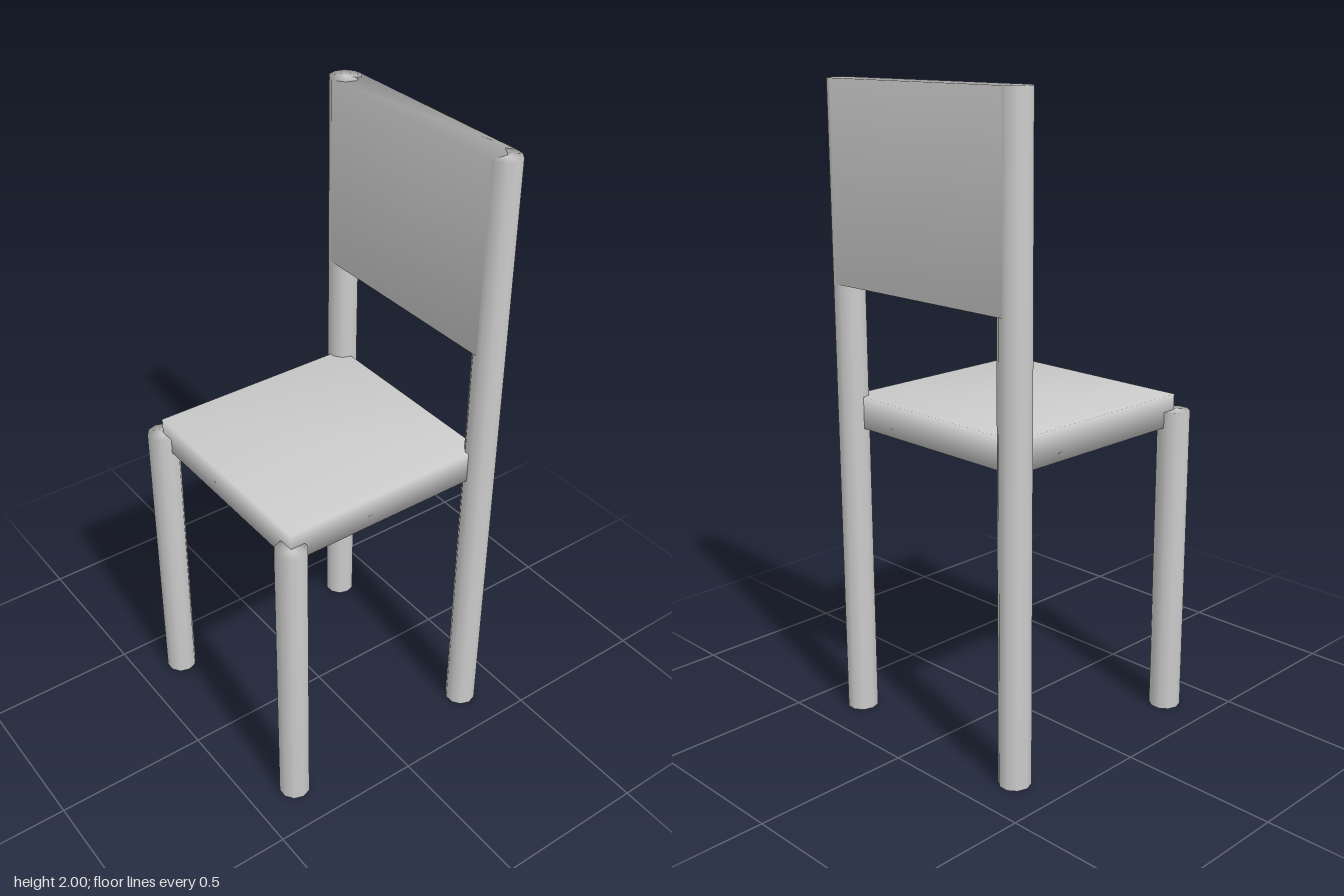
import * as THREE from 'three';
import { mergeVertices } from 'three/addons/utils/BufferGeometryUtils.js';

// Weld corners so the shading runs smoothly over every edge
function smooth(geometry) {
  geometry.deleteAttribute('normal');
  geometry.deleteAttribute('uv');
  const welded = mergeVertices(geometry, 1e-4);
  welded.computeVertexNormals();
  return welded;
}

export function createModel() {
  const chair = new THREE.Group();
  chair.name = 'chair';
  const grey = new THREE.MeshStandardMaterial({ color: 0xcccccc });
  grey.name = 'light grey';

  function add(name, geometry, x, y, z) {
    const mesh = new THREE.Mesh(smooth(geometry), grey);
    mesh.name = name;
    mesh.position.set(x, y, z);
    chair.add(mesh);
  }

  // Ten-sided post standing on the floor, a corner pointing sideways
  function addPost(name, height, x, z) {
    const post = new THREE.CylinderGeometry(0.05, 0.05, height, 10).rotateY(Math.PI / 2);
    add(name, post, x, height / 2, z);
  }

  // Short front legs, and rear legs that run up to carry the backrest
  for (const [side, x] of [['Left', 0.35], ['Right', -0.35]]) {
    addPost('front' + side + 'Leg', 1, x, 0.35);
    addPost('rear' + side + 'Leg', 2, x, -0.35);
  }

  // Seat and backrest slabs
  add('seat', new THREE.BoxGeometry(0.7, 0.1, 0.7), 0, 1, 0);
  add('backrest', new THREE.BoxGeometry(0.7, 0.6, 0.1), 0, 1.7, -0.35);

  return chair;
}
